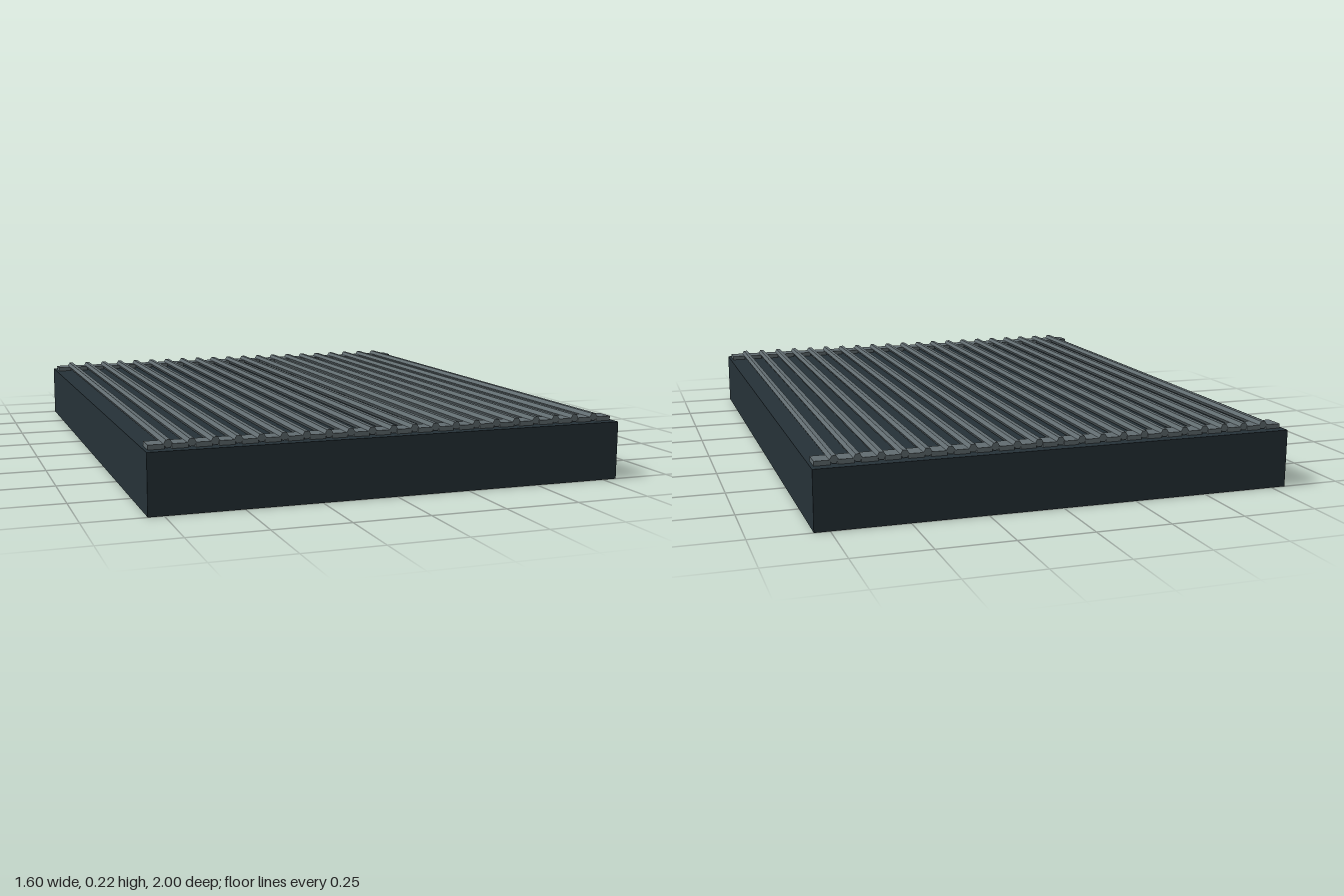
import * as THREE from 'three';

export function createModel() {
  const group = new THREE.Group();
  group.name = 'ribbedPlate';
  const dark = new THREE.MeshStandardMaterial({ color: 0x263238 });
  dark.name = 'dark slate';
  const grey = new THREE.MeshStandardMaterial({ color: 0x636e72 });
  grey.name = 'grey metal';

  function add(name, geometry, material, x, y, z) {
    const mesh = new THREE.Mesh(geometry, material);
    mesh.name = name;
    mesh.position.set(x, y, z);
    group.add(mesh);
  }

  // Solid slab
  const slabTop = 0.195;
  add('base', new THREE.BoxGeometry(1.6, slabTop, 2), dark, 0, slabTop / 2, 0);

  // Hexagonal rods along z, with a flat facet on top
  const ribCount = 21, pitch = 0.0727;
  const hexagon = new THREE.Shape();
  for (let i = 0; i < 6; i++) {
    const a = i * Math.PI / 3;
    const x = 0.014 * Math.cos(a), y = 0.014 * Math.sin(a);
    if (i === 0) hexagon.moveTo(x, y);
    else hexagon.lineTo(x, y);
  }
  hexagon.closePath();
  const ribLength = 1.93;
  const ribGeometry = new THREE.ExtrudeGeometry(hexagon, { depth: ribLength, bevelEnabled: false });
  ribGeometry.translate(0, 0, -ribLength / 2);
  for (let i = 0; i < ribCount; i++) {
    add('rib', ribGeometry, grey, (i - (ribCount - 1) / 2) * pitch, 0.21, 0);
  }

  // Spacer blocks between the rods at both ends
  const spacerHeight = 0.015;
  const spacerGeometry = new THREE.BoxGeometry(0.051, spacerHeight, 0.065);
  for (let i = 0; i <= ribCount; i++) {
    for (const side of [-1, 1]) {
      add('spacer', spacerGeometry, grey, (i - ribCount / 2) * pitch, slabTop + spacerHeight / 2, side * 0.934);
    }
  }
  return group;
}
